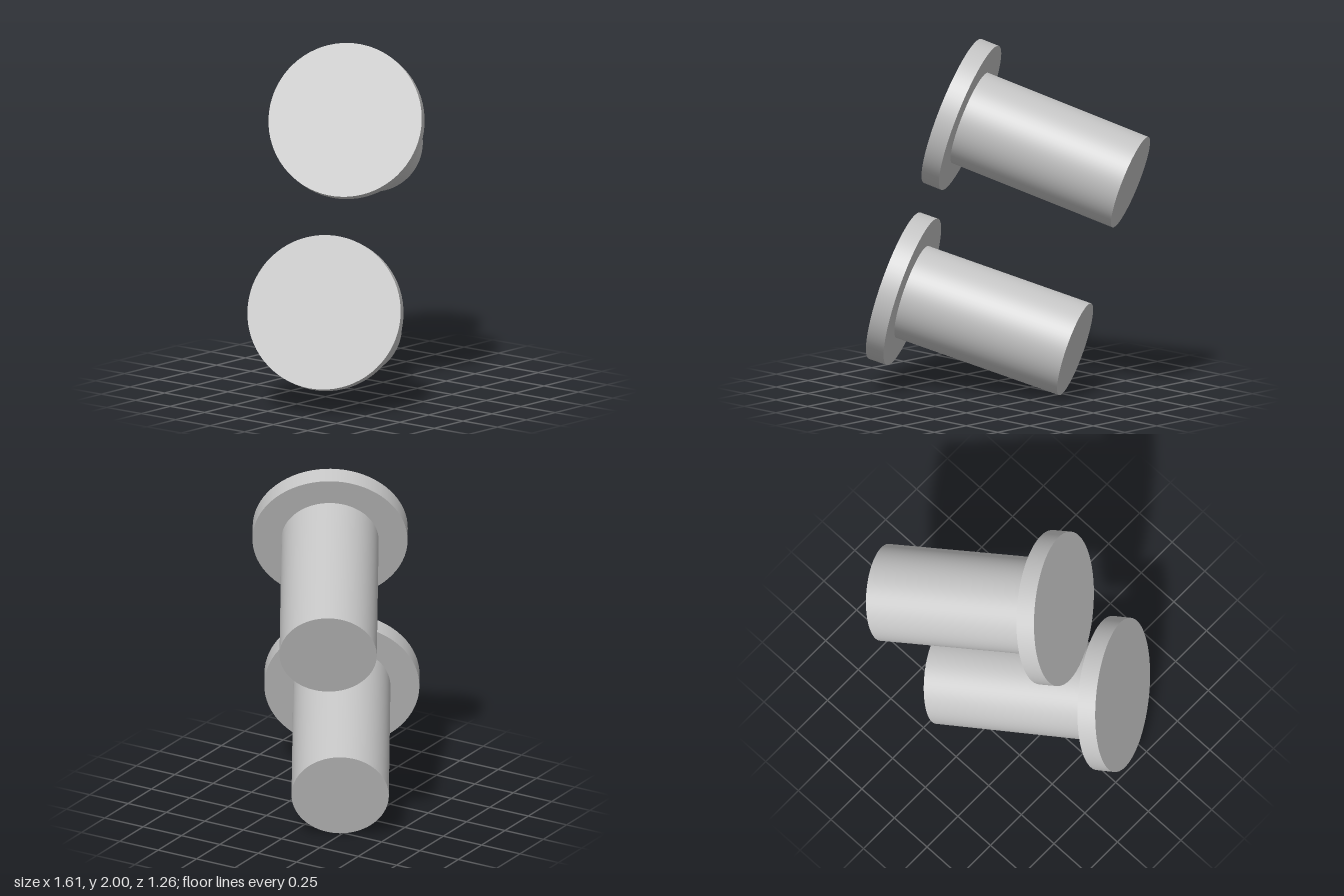
import * as THREE from 'three';

const HEAD_RADIUS = 0.432, HEAD_THICKNESS = 0.106;
const SHAFT_RADIUS = 0.271, LENGTH = 1.082;
const SEGMENTS = 72;

const steel = new THREE.MeshStandardMaterial({ color: 0xc4c4c4 });
steel.name = 'light grey steel';

// Flat-headed pin running from the centre of its head face to its shaft end
function createPin(name, headCentre, shaftEnd) {
  const pin = new THREE.Group();
  pin.name = name;

  // Disc-shaped head
  const head = new THREE.Mesh(
    new THREE.CylinderGeometry(HEAD_RADIUS, HEAD_RADIUS, HEAD_THICKNESS, SEGMENTS), steel);
  head.name = 'head';
  head.position.y = HEAD_THICKNESS / 2;

  // Plain round shaft, starting at the underside of the head
  const shaftLength = LENGTH - HEAD_THICKNESS;
  const shaft = new THREE.Mesh(
    new THREE.CylinderGeometry(SHAFT_RADIUS, SHAFT_RADIUS, shaftLength, SEGMENTS), steel);
  shaft.name = 'shaft';
  shaft.position.y = HEAD_THICKNESS + shaftLength / 2;

  pin.add(head, shaft);

  // Tilt the pin's length (local y) along its axis
  const axis = shaftEnd.clone().sub(headCentre).normalize();
  pin.quaternion.setFromUnitVectors(new THREE.Vector3(0, 1, 0), axis);
  pin.position.copy(headCentre);
  return pin;
}

export function createModel() {
  const model = new THREE.Group();
  model.name = 'pinPair';
  model.add(
    createPin('upperPin',
      new THREE.Vector3(-0.232, 1.592, 0.128), new THREE.Vector3(0.648, 1.24, -0.394)),
    createPin('lowerPin',
      new THREE.Vector3(-0.564, 0.568, 0.253), new THREE.Vector3(0.327, 0.26, -0.277)));
  return model;
}
